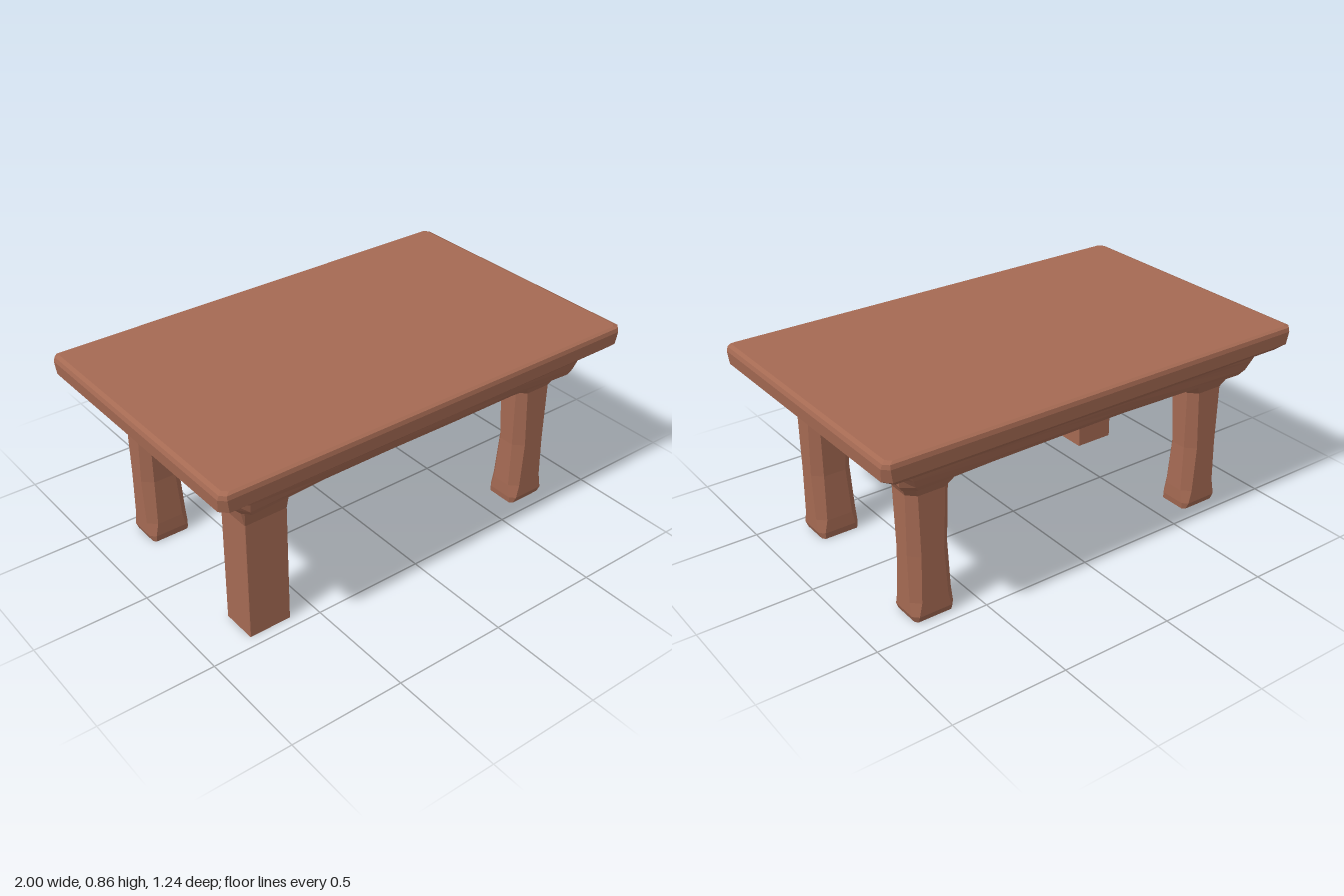
import * as THREE from 'three';

const SIDE_STEPS = 5;

// Rectangle outline with cut corners; each side is subdivided so it can sag or wobble.
function ring({ y, x0, x1, z0, z1, cut = 0.01, droop = 0, wobble = 0 }) {
  const corners = [
    [x1, z0 + cut], [x1, z1 - cut], [x1 - cut, z1], [x0 + cut, z1],
    [x0, z1 - cut], [x0, z0 + cut], [x0 + cut, z0], [x1 - cut, z0],
  ];
  const points = [];
  for (let s = 0; s < 4; s++) {
    const [ax, az] = corners[s * 2], [bx, bz] = corners[s * 2 + 1];
    for (let i = 0; i <= SIDE_STEPS; i++) {
      const t = i / SIDE_STEPS;
      const sag = droop * Math.abs(2 * t - 1) ** 3;
      const w = wobble * Math.sin(i * 2.3 + s * 1.7 + y * 40);
      const k = 1 + w;
      points.push([(ax + (bx - ax) * t) * k, y - sag, (az + (bz - az) * t) * k]);
    }
  }
  return points;
}

// Skin a stack of rings from bottom to top, capped at both ends, with faceted normals.
function loft(rows) {
  const rings = rows.map(ring);
  const n = rings[0].length;
  const pos = rings.flat(2);
  const index = [];
  for (let r = 0; r < rings.length - 1; r++) {
    for (let j = 0; j < n; j++) {
      const a = r * n + j, d = r * n + (j + 1) % n;
      index.push(a, a + n, d + n, a, d + n, d);
    }
  }
  for (const [row, base, up] of [[rows[0], 0, false], [rows.at(-1), (rings.length - 1) * n, true]]) {
    const c = pos.length / 3;
    pos.push((row.x0 + row.x1) / 2, row.y, (row.z0 + row.z1) / 2);
    for (let j = 0; j < n; j++) {
      const a = base + j, b = base + (j + 1) % n;
      if (up) index.push(c, b, a); else index.push(c, a, b);
    }
  }
  const g = new THREE.BufferGeometry();
  g.setAttribute('position', new THREE.Float32BufferAttribute(pos, 3));
  g.setIndex(index);
  const flat = g.toNonIndexed();
  flat.computeVertexNormals();
  return flat;
}

const slabRow = ([y, hx, hz, cut, droop = 0, wobble = 0]) =>
  ({ y, x0: -hx, x1: hx, z0: -hz, z1: hz, cut, droop, wobble });

// Leg ring on the given corner; grow = [outward, inward] flare, inset shrinks it.
function legRow(sx, sz, y, cut, outward = 0, inward = 0) {
  const span = (s, near, far) => {
    const a = s * (near - inward), b = s * (far + outward);
    return [Math.min(a, b), Math.max(a, b)];
  };
  const [x0, x1] = span(sx, 0.61, 0.80);
  const [z0, z1] = span(sz, 0.29, 0.45);
  return { y, x0, x1, z0, z1, cut };
}

export function createModel() {
  const wood = new THREE.MeshStandardMaterial({ color: 0xa56a53 });
  wood.name = 'brown wood';
  const table = new THREE.Group();
  table.name = 'table';
  const add = (name, rows) => {
    const mesh = new THREE.Mesh(loft(rows), wood);
    mesh.name = name;
    table.add(mesh);
  };

  // Thick top with a worn, rounded rim
  add('tableTop', [
    [0.737, 0.91, 0.555, 0.03],
    [0.745, 0.965, 0.585, 0.03, 0, 0.004],
    [0.775, 0.994, 0.618, 0.03],
    [0.83, 0.998, 0.622, 0.025],
    [0.848, 0.992, 0.618, 0.02],
    [0.855, 0.975, 0.606, 0.02],
  ].map(slabRow));

  // Moulded apron, its lower edge arching between the legs
  add('apron', [
    [0.644, 0.79, 0.46, 0.03, 0.022],
    [0.652, 0.845, 0.515, 0.04, 0.016, 0.006],
    [0.675, 0.862, 0.53, 0.04, 0.012, 0.006],
    [0.71, 0.875, 0.545, 0.04, 0.006, 0.006],
    [0.745, 0.9, 0.56, 0.04],
  ].map(slabRow));

  // One plain square leg and three carved ones, all flaring into the apron
  for (const [name, sx, sz] of [
    ['frontRightLeg', -1, 1], ['frontLeftLeg', 1, 1],
    ['backRightLeg', -1, -1], ['backLeftLeg', 1, -1],
  ]) {
    const L = (...a) => legRow(sx, sz, ...a);
    const plain = sx < 0 && sz > 0;
    const shaft = plain
      ? [L(0, 0.002), L(0.54, 0.002)]
      : [L(0, 0.012, -0.012, -0.004), L(0.03, 0.022), L(0.09, 0.035),
        L(0.3, 0.04, 0, -0.008), L(0.57, 0.035)];
    add(name, [
      ...shaft,
      L(0.615, plain ? 0.01 : 0.035, 0.022, plain ? 0.005 : 0.03),
      L(0.645, 0.035, 0.05, 0.08),
      L(0.67, 0.035, 0.06, 0.09),
    ]);
  }
  return table;
}
